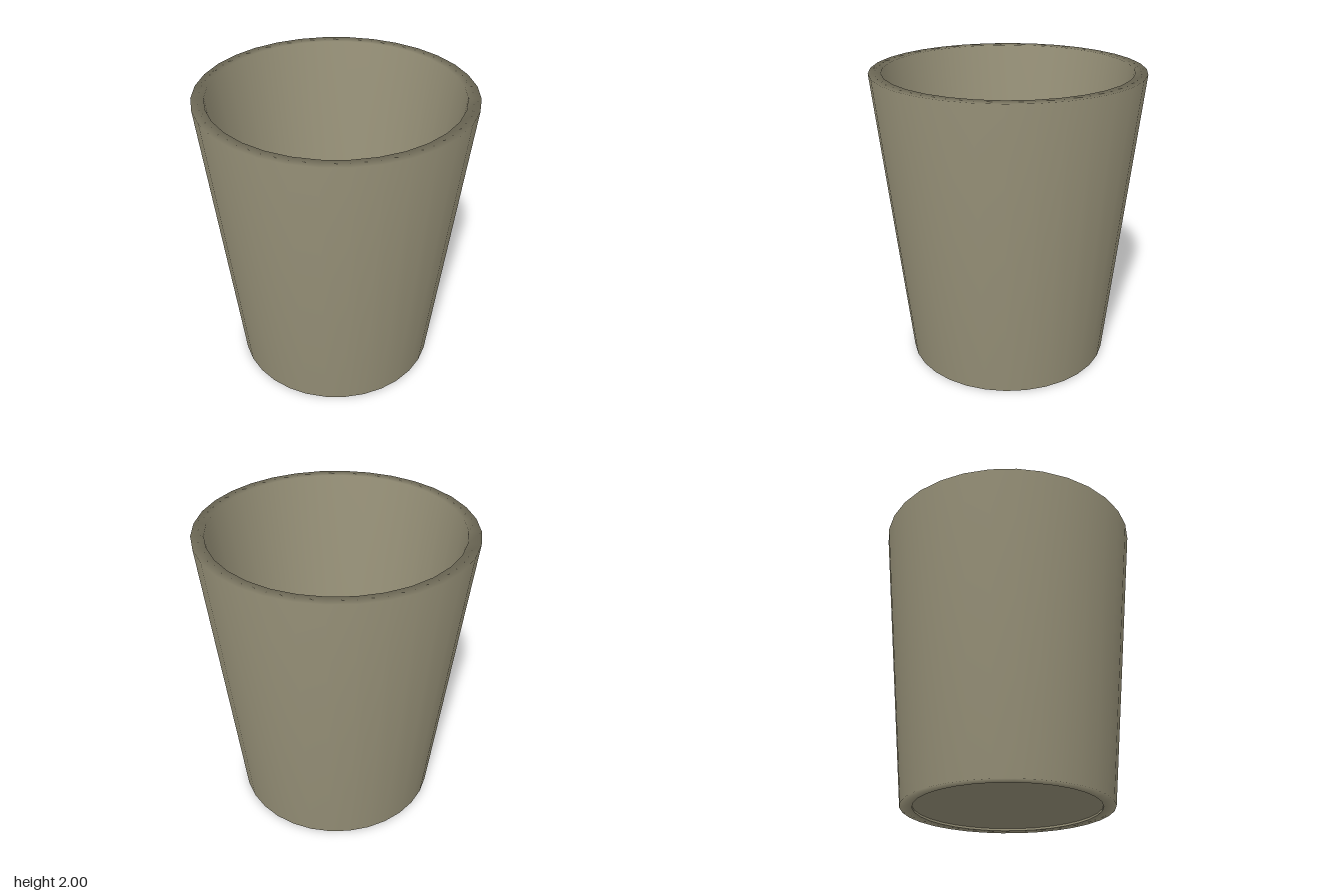
import * as THREE from 'three';

export function createModel() {
  const group = new THREE.Group();
  group.name = 'cup';
  const sides = 32;
  const material = new THREE.MeshStandardMaterial({ color: 0x989279, side: THREE.DoubleSide });

  // Tapered wall with thickness: foot ring, outside, rim, inside
  const profile = [[0.61, 0], [0.69, 0], [0.89, 2], [0.81, 2], [0.61, 0]]
    .map(([r, y]) => new THREE.Vector2(r, y));
  const wall = new THREE.Mesh(new THREE.LatheGeometry(profile, sides), material);
  wall.name = 'wall';
  group.add(wall);

  // Thin floor just above the foot ring
  const floor = new THREE.Mesh(new THREE.CircleGeometry(0.612, sides), material);
  floor.name = 'floor';
  floor.rotation.x = -Math.PI / 2;
  floor.position.y = 0.015;
  group.add(floor);

  return group;
}
